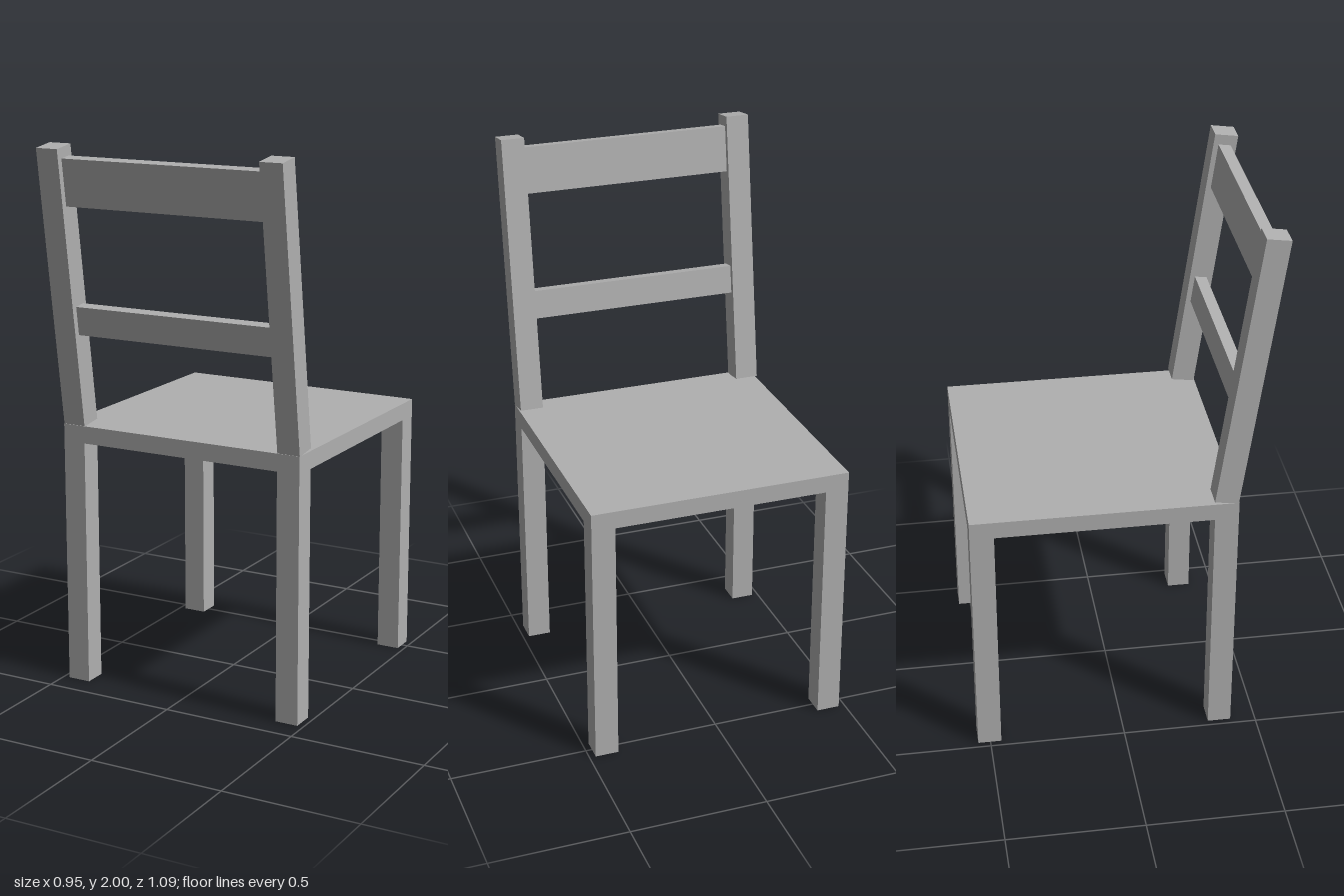
import * as THREE from 'three';

export function createModel() {
  const model = new THREE.Group();
  model.name = 'chair';
  const grey = new THREE.MeshStandardMaterial({ color: 0xb0b0b0 });
  grey.name = 'plain grey';

  function box(parent, name, size, position) {
    const mesh = new THREE.Mesh(new THREE.BoxGeometry(...size), grey);
    mesh.name = name;
    mesh.position.set(...position);
    parent.add(mesh);
  }

  const width = 0.954, post = 0.086;
  const sideX = (width - post) / 2;

  // Seat slab
  box(model, 'seat', [width, 0.064, 0.953], [0, 0.948, -0.069]);

  // Back frame, leaning outwards over the +z edge of the seat
  const back = new THREE.Group();
  back.name = 'backrest';
  back.position.set(0, 1.489, 0.4325);
  back.rotation.x = 0.138;
  model.add(back);

  // Legs and back posts, mirrored
  for (const [side, s] of [['left', 1], ['right', -1]]) {
    box(model, side + 'BackrestLeg', [post, 0.916, post], [s * sideX, 0.458, 0.3645]);
    box(model, side + 'OuterLeg', [post, 0.916, post], [s * sideX, 0.458, -0.5025]);
    box(back, side + 'BackPost', [post, 1.02, post], [s * sideX, 0, 0]);
  }

  // Cross rails between the posts
  const railWidth = width - 2 * post;
  box(back, 'topRail', [railWidth, 0.17, 0.045], [0, 0.387, -0.002]);
  box(back, 'middleRail', [railWidth, 0.105, 0.045], [0, -0.116, -0.002]);

  return model;
}
